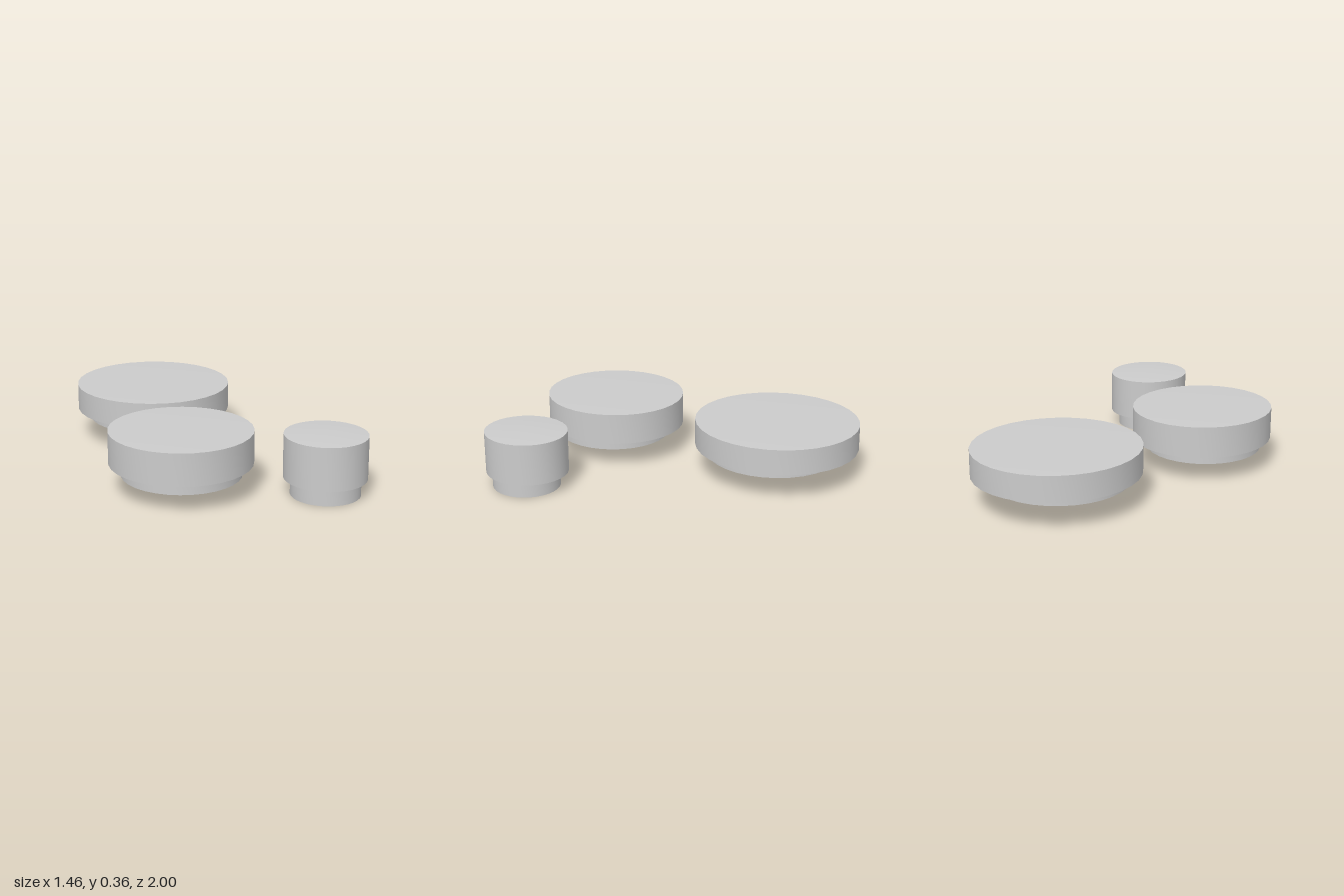
import * as THREE from 'three';
import { toCreasedNormals } from 'three/addons/utils/BufferGeometryUtils.js';

const material = new THREE.MeshStandardMaterial({ color: 0xcccccc });

// Closed profile of revolution, squeezed to an oval of half-widths rx and rz.
function oval(name, points, rx, rz, x, z) {
  const profile = points.map(([r, y]) => new THREE.Vector2(r, y));
  const geometry = new THREE.LatheGeometry(profile, 32);
  geometry.scale(rx, 1, rz);
  const mesh = new THREE.Mesh(toCreasedNormals(geometry, 0.6), material);
  mesh.name = name;
  mesh.position.set(x, 0, z);
  return mesh;
}

// One stepped pad: a wide head with a barely domed top, on a narrower foot.
function pad({ name, x, head, foot, y }) {
  const [bottom, step, edge, apex] = y;
  const group = new THREE.Group();
  group.name = name;
  group.add(
    oval('head', [[0, step], [1, step], [1, edge], [0, apex]], head.rx, head.rz, x, head.z),
    oval('foot', [[0, bottom], [1, bottom], [1, step], [0, step + 0.01]], foot.rx, foot.rz, x, foot.z)
  );
  return group;
}

export function createModel() {
  const model = new THREE.Group();
  model.name = 'steppedPads';
  // y lists the foot bottom, the step, the head edge and the apex
  const pads = [
    {
      name: 'largePad', x: -0.267, y: [0.12, 0.174, 0.326, 0.335],
      head: { rx: 0.467, rz: 0.49, z: -0.51 }, foot: { rx: 0.393, rz: 0.402, z: -0.49 },
    },
    {
      name: 'mediumPad', x: -0.267, y: [0.098, 0.165, 0.349, 0.358],
      head: { rx: 0.402, rz: 0.42, z: 0.55 }, foot: { rx: 0.336, rz: 0.344, z: 0.567 },
    },
    {
      name: 'smallPad', x: 0.498, y: [0, 0.094, 0.34, 0.356],
      head: { rx: 0.232, rz: 0.244, z: 0.756 }, foot: { rx: 0.195, rz: 0.2, z: 0.765 },
    },
  ];
  for (const spec of pads) model.add(pad(spec));
  return model;
}
